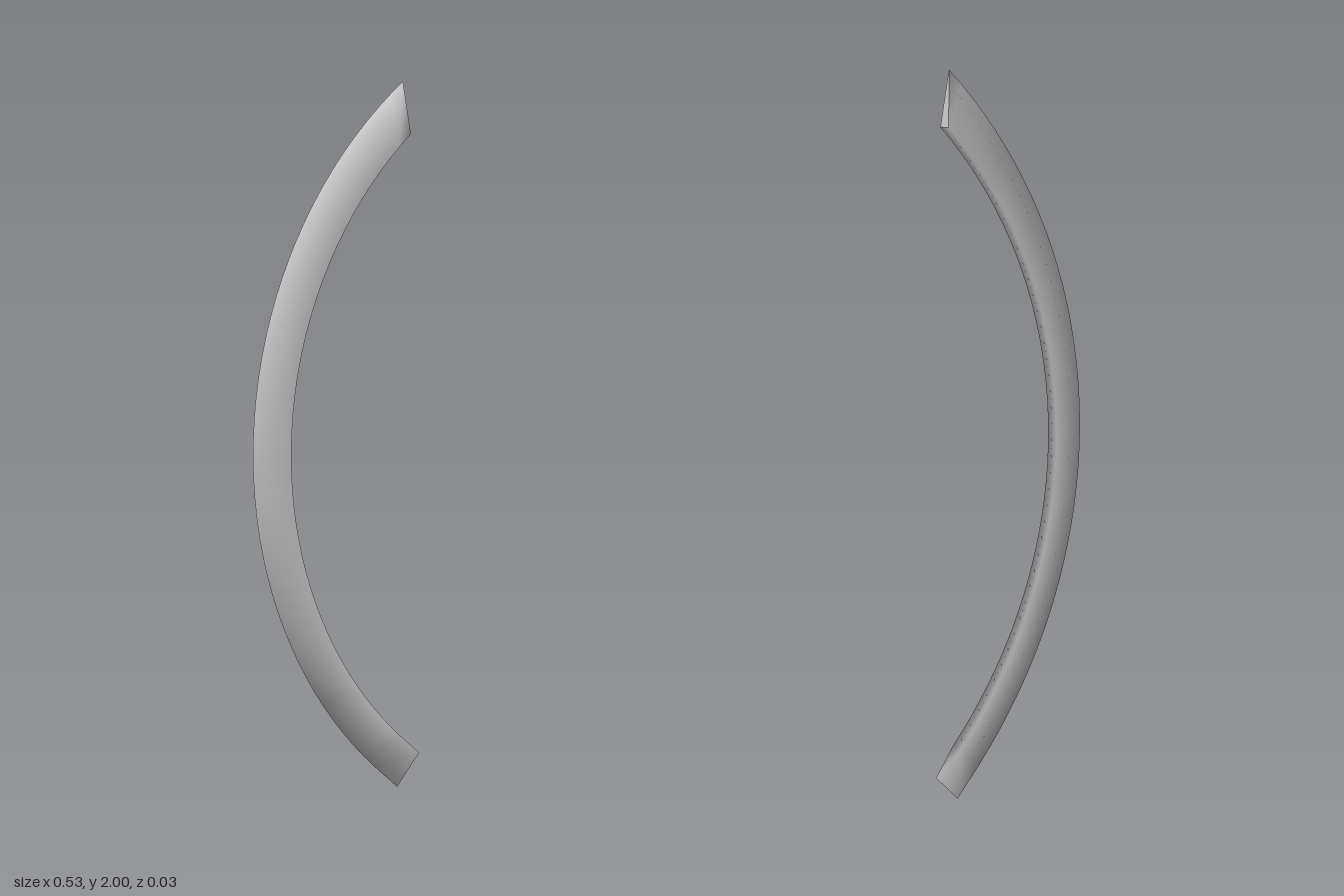
import * as THREE from 'three';

const HALF_THICKNESS = 0.017;

// Point on an arc bulging towards -x, at an angle above or below the middle
const arcPoint = (cx, radius, angle) => [cx - radius * Math.cos(angle), 1 + radius * Math.sin(angle)];

// Wedge section: sharp outer edge, flat inner spine
function section(outer, inner, halfThickness) {
  return [
    [...outer, 0],
    [...inner, halfThickness],
    [...inner, -halfThickness],
  ];
}

function bladeGeometry(slices) {
  const rings = [];
  for (let i = 0; i <= slices; i++) {
    const s = i / slices;
    const outer = arcPoint(1.05, 1.316, THREE.MathUtils.lerp(0.863, -0.779, s));
    const inner = arcPoint(1.024, 1.184, THREE.MathUtils.lerp(0.813, -0.79, s));
    rings.push(section(outer, inner, HALF_THICKNESS));
  }
  // Lower end pinches to a flat edge
  rings.push(section([0.19, 0], [0.265, 0.09], 0));

  const positions = rings.flat(2);
  const indices = [];
  for (let i = 0; i < rings.length - 1; i++) {
    for (let k = 0; k < 3; k++) {
      const a = i * 3 + k;
      const b = i * 3 + (k + 1) % 3;
      indices.push(a, a + 3, b + 3, a, b + 3, b);
    }
  }
  // Upper end cap, with its own corners so its edge stays crisp
  const cap = positions.length / 3;
  positions.push(...rings[0].flat());
  indices.push(cap, cap + 1, cap + 2);

  const geometry = new THREE.BufferGeometry();
  geometry.setAttribute('position', new THREE.Float32BufferAttribute(positions, 3));
  geometry.setIndex(indices);
  geometry.computeVertexNormals();
  return geometry;
}

export function createModel() {
  const group = new THREE.Group();
  group.name = 'curvedBlade';
  const material = new THREE.MeshStandardMaterial({ color: 0xcccccc, side: THREE.DoubleSide });
  const blade = new THREE.Mesh(bladeGeometry(40), material);
  blade.name = 'blade';
  group.add(blade);
  return group;
}
